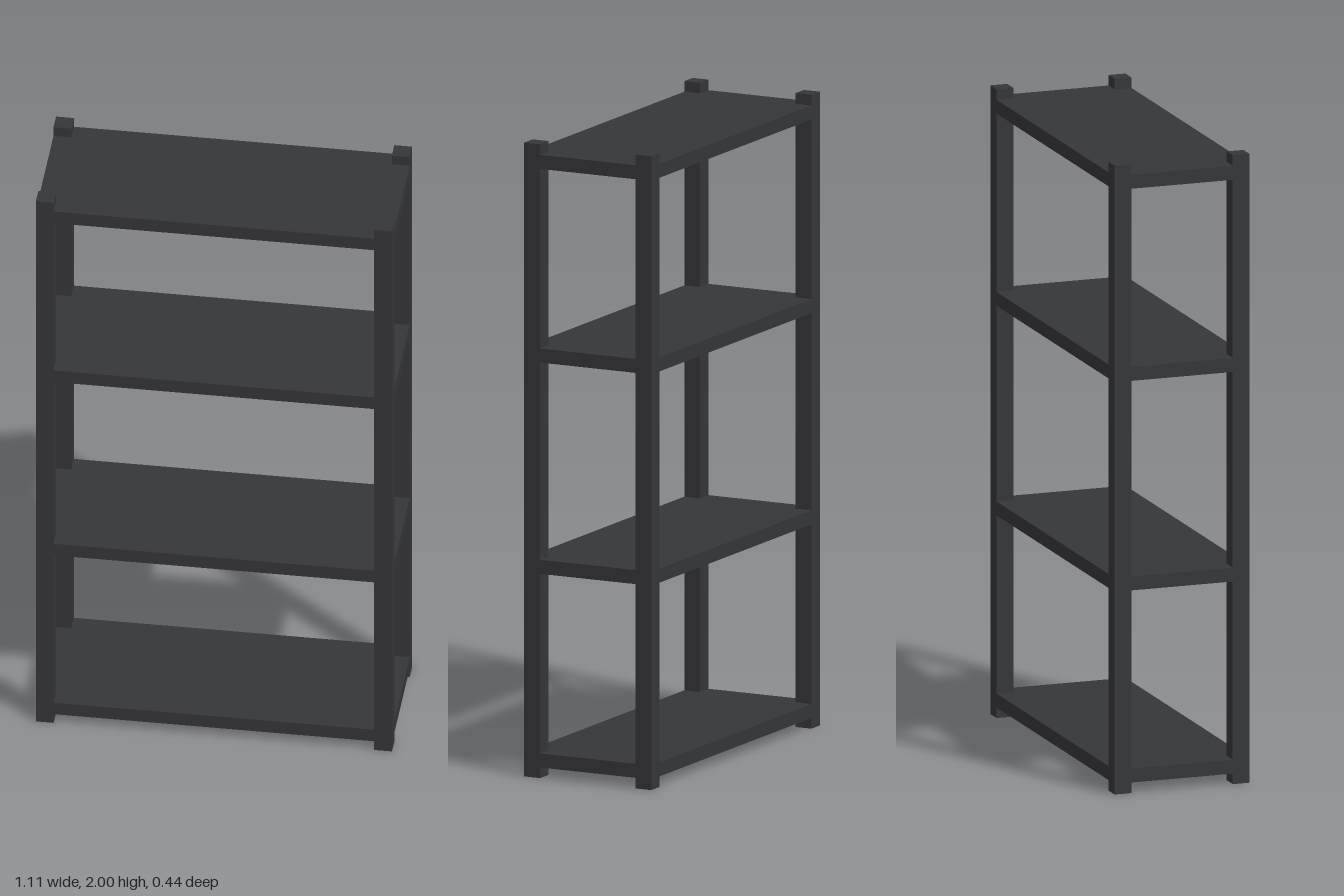
import * as THREE from 'three';

export function createModel() {
  const model = new THREE.Group();
  model.name = 'shelfUnit';
  const material = new THREE.MeshStandardMaterial({ color: 0x35363a });

  const halfW = 0.5556, halfD = 0.2222, height = 2, post = 0.0556, thick = 0.0444;

  // Four square corner posts
  const postGeometry = new THREE.BoxGeometry(post, height, post);
  for (const [sideX, x] of [['Left', 1], ['Right', -1]]) {
    for (const [sideZ, z] of [['front', 1], ['back', -1]]) {
      const mesh = new THREE.Mesh(postGeometry, material);
      mesh.name = `${sideZ}${sideX}Post`;
      mesh.position.set(x * (halfW - post / 2), height / 2, z * (halfD - post / 2));
      model.add(mesh);
    }
  }

  // Shelf board, flush with the posts and notched around them at each corner
  const inX = halfW - post, inZ = halfD - post;
  const outline = new THREE.Shape([
    [inX, -halfD], [inX, -inZ], [halfW, -inZ], [halfW, inZ], [inX, inZ], [inX, halfD],
    [-inX, halfD], [-inX, inZ], [-halfW, inZ], [-halfW, -inZ], [-inX, -inZ], [-inX, -halfD],
  ].map(([x, z]) => new THREE.Vector2(x, z)));
  const shelfGeometry = new THREE.ExtrudeGeometry(outline, { depth: thick, bevelEnabled: false });
  shelfGeometry.translate(0, 0, -thick / 2).rotateX(-Math.PI / 2);

  // Four shelves, from bottom to top
  [0.0556, 0.6667, 1.3333, 1.9444].forEach((y, i) => {
    const shelf = new THREE.Mesh(shelfGeometry, material);
    shelf.name = `shelf${i + 1}`;
    shelf.position.y = y;
    model.add(shelf);
  });

  return model;
}
